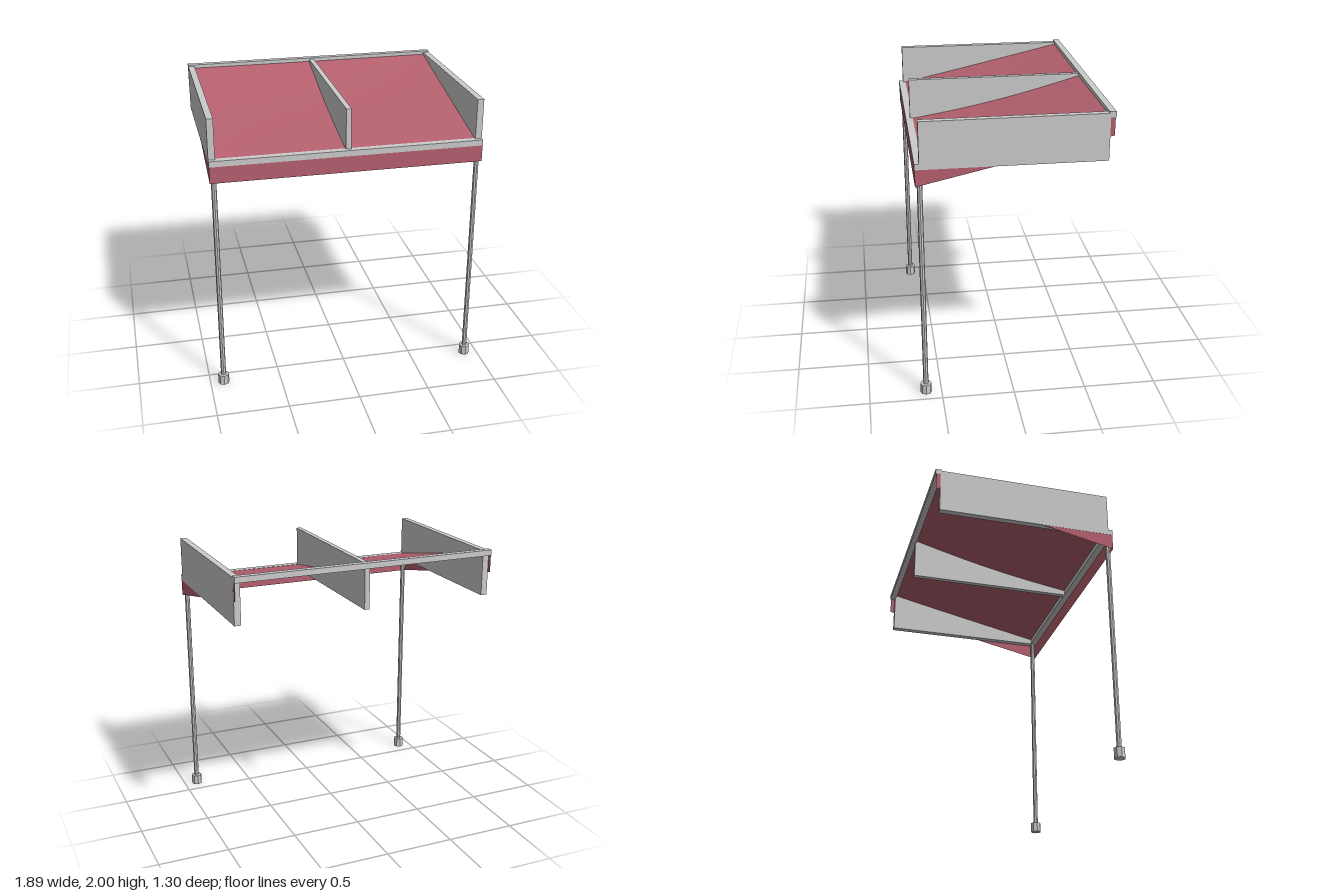
import * as THREE from 'three';

const grey = new THREE.MeshStandardMaterial({ color: 0xcccccc, flatShading: true });
const cloth = new THREE.MeshStandardMaterial({ color: 0xb5606f, side: THREE.DoubleSide });

const HALF_W = 0.934, BACK = -0.645, FRONT = 0.638;
const BACK_Y = 1.985, FRONT_Y = 1.7, DROP = 0.145;

// Height of the taut cloth edge at depth z
const slopeY = (z) => THREE.MathUtils.mapLinear(z, BACK, FRONT, BACK_Y, FRONT_Y);

function add(parent, name, geometry, material) {
  const mesh = new THREE.Mesh(geometry, material);
  mesh.name = name;
  parent.add(mesh);
  return mesh;
}

// Box given by its limits on each axis
function box(parent, name, x0, x1, y0, y1, z0, z1) {
  const mesh = add(parent, name, new THREE.BoxGeometry(x1 - x0, y1 - y0, z1 - z0), grey);
  mesh.position.set((x0 + x1) / 2, (y0 + y1) / 2, (z0 + z1) / 2);
}

// Sloping roof sheet, held at its edges and sagging slightly in the middle
function roofGeometry() {
  const geo = new THREE.PlaneGeometry(2 * HALF_W, FRONT - BACK, 24, 16);
  geo.rotateX(-Math.PI / 2).translate(0, 0, (FRONT + BACK) / 2);
  const p = geo.attributes.position;
  for (let i = 0; i < p.count; i++) {
    const u = p.getX(i) / HALF_W;
    const t = (p.getZ(i) - BACK) / (FRONT - BACK);
    p.setY(i, slopeY(p.getZ(i)) - 0.025 * (1 - u * u) * Math.sin(Math.PI * t));
  }
  geo.computeVertexNormals();
  return geo;
}

// Side flap: a strip sheared to follow the roof slope
function sideFlapGeometry() {
  const geo = new THREE.PlaneGeometry(FRONT - BACK, DROP);
  geo.rotateY(Math.PI / 2).translate(0, -DROP / 2, (FRONT + BACK) / 2);
  const p = geo.attributes.position;
  for (let i = 0; i < p.count; i++) p.setY(i, p.getY(i) + slopeY(p.getZ(i)));
  geo.computeVertexNormals();
  return geo;
}

export function createModel() {
  const model = new THREE.Group();
  model.name = 'awning';

  // Cross bars
  box(model, 'frontBar', -0.935, 0.935, 1.67, 1.71, 0.59, 0.64);
  box(model, 'backBar', -0.935, 0.935, 1.96, 2.0, -0.65, -0.605);

  // Upright boards running front to back
  box(model, 'leftBoard', 0.89, 0.935, 1.67, 1.99, -0.615, 0.61);
  box(model, 'rightBoard', -0.935, -0.89, 1.67, 1.99, -0.615, 0.61);
  box(model, 'centreBoard', -0.018, 0.018, 1.67, 1.99, -0.615, 0.61);

  // Cloth roof with hanging front and side flaps
  const canopy = new THREE.Group();
  canopy.name = 'canopy';
  model.add(canopy);
  add(canopy, 'roofCloth', roofGeometry(), cloth);
  const flap = add(canopy, 'frontFlap', new THREE.PlaneGeometry(2 * HALF_W, DROP), cloth);
  flap.position.set(0, FRONT_Y - DROP / 2, FRONT);
  for (const side of [1, -1]) {
    const sideFlap = add(canopy, side > 0 ? 'leftFlap' : 'rightFlap', sideFlapGeometry(), cloth);
    sideFlap.position.x = side * HALF_W;
  }

  // Front legs with octagonal feet
  for (const side of [1, -1]) {
    const leg = new THREE.Group();
    leg.name = side > 0 ? 'leftLeg' : 'rightLeg';
    leg.position.set(side * 0.906, 0, 0.608);
    add(leg, 'post', new THREE.CylinderGeometry(0.018, 0.018, 1.68, 8), grey).position.y = 0.84;
    add(leg, 'foot', new THREE.CylinderGeometry(0.039, 0.039, 0.07, 8), grey).position.y = 0.035;
    model.add(leg);
  }
  return model;
}
